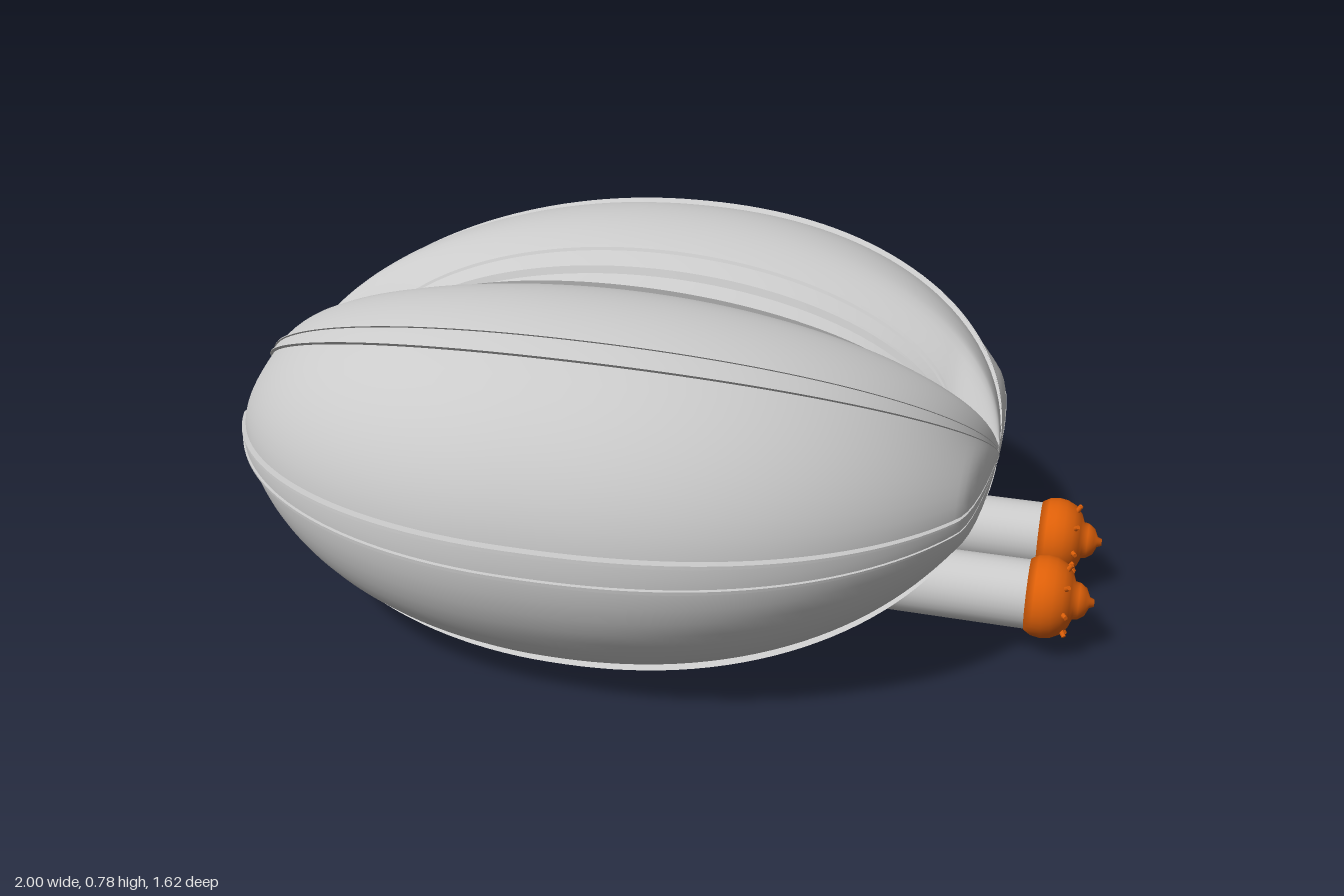
import * as THREE from 'three';

const MID = 0.392; // height of the long axis
const mat = (name, color, side = THREE.FrontSide) => {
  const m = new THREE.MeshStandardMaterial({ color, side });
  m.name = name;
  return m;
};
const smooth = (a, b, v) => THREE.MathUtils.smoothstep(v, a, b);
const lerp = THREE.MathUtils.lerp;
const deg = Math.PI / 180;

// Half-length profile: 1 amidships, falling to 0 at each end
function fall(x, centre, rear, front, pRear, pFront) {
  const d = x - centre;
  const k = d < 0 ? Math.pow(Math.min(1, -d / rear), pRear) : Math.pow(Math.min(1, d / front), pFront);
  return Math.sqrt(Math.max(0, 1 - k));
}

// Distance of the two-lobed hull from its axis, for a station x and an angle round it
function hullRadius(x, angle) {
  const c = Math.abs(Math.cos(angle)), s = Math.sin(angle);
  const cz = 0.35, a = 0.445, b = 0.388;
  const A = (c / a) ** 2 + (s / b) ** 2, B = (c * cz) / (a * a), C = (cz / a) ** 2 - 1;
  const r = (B + Math.sqrt(B * B - A * C)) / A;
  const t = Math.atan2(Math.abs(s), c) / deg;
  const blunt = fall(x, 0.72, 2, 0.04, 2, 2.5); // closes the blunt front end
  const wide = fall(x, -0.1, 0.905, 0.92, 2, 2.4) * (x > 0.72 ? blunt : 1);
  const tall = fall(x, -0.1, 0.868, 0.86, 2, 2.2);
  const valley = Math.max(fall(x, -0.08, 0.71, 0.73, 2, 2), 0.12 * wide);
  const side = lerp(wide, tall, smooth(0, 35, t));
  return r * lerp(side, valley, smooth(52, 76, t));
}
const onHull = (x, angle, lift = 0, k = 1) => {
  const r = hullRadius(x, angle) * k + lift;
  return [x, MID + r * Math.sin(angle), r * Math.cos(angle)];
};

// Surface through rows of points
function loft(rows, closed) {
  const n = rows[0].length, idx = [];
  for (let i = 0; i < rows.length - 1; i++) {
    for (let j = 0; j < (closed ? n : n - 1); j++) {
      const a = i * n + j, b = i * n + ((j + 1) % n), c = a + n, d = b + n;
      idx.push(a, c, b, b, c, d);
    }
  }
  const g = new THREE.BufferGeometry();
  g.setAttribute('position', new THREE.Float32BufferAttribute(rows.flat(2), 3));
  g.setIndex(idx);
  g.computeVertexNormals();
  return g;
}

export function createModel() {
  const root = new THREE.Group();
  const grey = mat('hullGrey', 0xcacaca, THREE.DoubleSide);
  const green = mat('seamGreen', 0x36c262);
  const orange = mat('tipOrange', 0xdd5f08);
  const add = (name, geo, material, parent = root) => {
    const m = new THREE.Mesh(geo, material);
    m.name = name;
    parent.add(m);
    return m;
  };

  // Stations along the hull, closer together at the ends
  const stations = [];
  for (let i = 0; i <= 72; i++) stations.push(-0.1 + 0.86 * Math.sin(lerp(-1.385, Math.PI / 2, i / 72)));

  // Hull with a rounded rear cap
  const N = 120;
  const ring = (x, k = 1, at = x) => Array.from({ length: N }, (_, j) => {
    const p = onHull(x, (j / N) * Math.PI * 2, 0, k);
    return [at, p[1], p[2]];
  });
  const x0 = stations[0];
  const cap = [[-0.965, 0], [-0.975, 0.3], [-0.967, 0.65], [-0.955, 0.88]].map(([at, k]) => ring(x0, k, at));
  add('hull', loft([...cap, ...stations.map((x) => ring(x))], true), grey);

  // Raised ribs: a band between two thin rails
  const ribs = new THREE.Group();
  ribs.name = 'ribs';
  root.add(ribs);
  const angles = [0, 180];
  for (const a of [33, 71.5]) angles.push(a, -a, 180 - a, a - 180);
  const ribStations = stations.slice(0, -1).concat(0.759);
  for (const a of angles) {
    const narrow = Math.abs(Math.sin(a * deg)) > 0.9;
    const w = narrow ? 3.4 : 2.05;
    const e = narrow ? 0.9 : 0.45;
    const strip = (pts) => loft(ribStations.map((x) => pts.map(([d, h]) => onHull(x, (a + d) * deg, h))), false);
    add('ribBand', strip([[-w, 0.009], [0, 0.01], [w, 0.009]]), grey, ribs);
    for (const s of [-w, w]) {
      const rail = [[s - e, -0.002], [s - e * 0.6, 0.016], [s + e * 0.6, 0.016], [s + e, -0.002]];
      for (let i = 0; i < 3; i++) add('ribRail', strip(rail.slice(i, i + 2)), grey, ribs);
    }
  }

  // Green plate along the seam between the lobes
  const outline = [];
  for (const s of [1, -1]) {
    for (let i = 0; i <= 40; i++) {
      const x = -0.07 - s * 0.7 * Math.cos((i / 40) * Math.PI);
      outline.push(new THREE.Vector2(x, MID + s * (hullRadius(x, Math.PI / 2) + 0.014)));
    }
  }
  const plate = new THREE.ExtrudeGeometry(new THREE.Shape(outline), { depth: 0.02, bevelEnabled: false });
  plate.translate(0, 0, -0.01);
  add('seamPlate', plate, green);

  // Rear pin
  const pin = new THREE.CylinderGeometry(0.014, 0.024, 0.06, 16).rotateZ(Math.PI / 2).translate(-0.97, MID, 0);
  add('rearPin', pin, grey);

  // Two barrels with studded orange tips
  const tipProfile = [[0, 0.855], [0.078, 0.858], [0.088, 0.875], [0.091, 0.895], [0.088, 0.915], [0.078, 0.935],
    [0.06, 0.95], [0.042, 0.957], [0.04, 0.968], [0.03, 0.982], [0.012, 0.99], [0.008, 1], [0, 1]]
    .map(([r, x]) => new THREE.Vector2(r, x));
  for (const side of [-1, 1]) {
    const g = new THREE.Group();
    g.name = side > 0 ? 'frontBarrel' : 'backBarrel';
    g.position.set(0, 0.131, side * 0.148);
    root.add(g);
    const tube = new THREE.CylinderGeometry(0.076, 0.076, 0.57, 32).rotateZ(-Math.PI / 2).translate(0.585, 0, 0);
    add('barrel', tube, grey, g);
    const nose = new THREE.ConeGeometry(0.076, 0.18, 32).rotateZ(Math.PI / 2).translate(0.21, 0, 0);
    add('barrelTaper', nose, grey, g);
    add('tip', new THREE.LatheGeometry(tipProfile, 32).rotateZ(-Math.PI / 2), orange, g);
    for (let i = 0; i < 8; i++) {
      const a = (i / 8) * Math.PI * 2;
      const stud = add('stud', new THREE.CylinderGeometry(0.005, 0.007, 0.026, 8), orange, g);
      const dir = new THREE.Vector3(0.6, Math.cos(a), Math.sin(a)).normalize();
      stud.position.set(0.895, 0, 0).addScaledVector(dir, 0.085);
      stud.quaternion.setFromUnitVectors(new THREE.Vector3(0, 1, 0), dir);
    }
  }
  return root;
}
